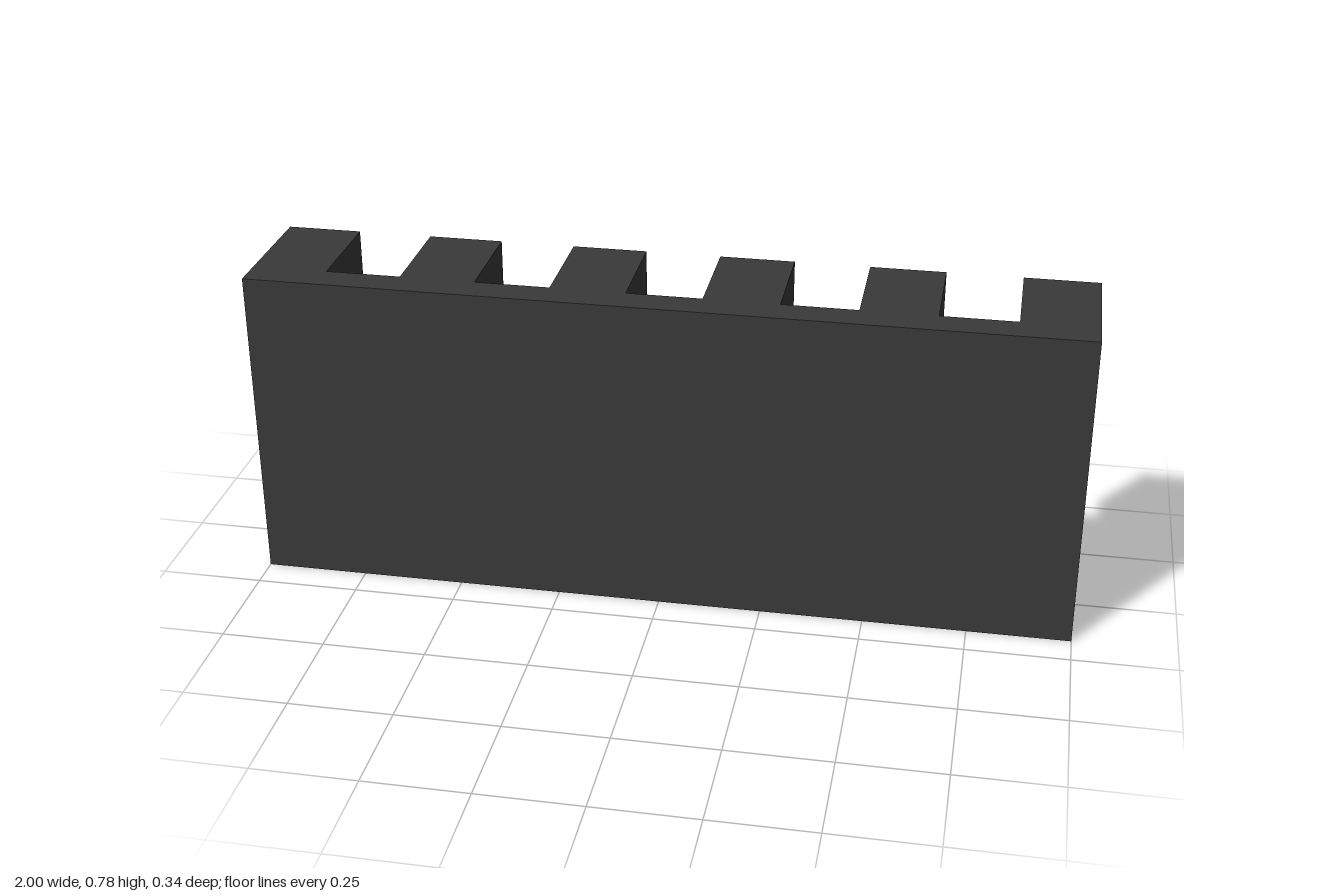
import * as THREE from 'three';

const LENGTH = 2, HEIGHT = 0.784;
const FRONT = 0.169, PLATE_BACK = 0.09, LEDGE_BACK = -0.075, TOOTH_BACK = -0.169;
const LEDGE_TOP = 0.069, TOOTH_BOTTOM = 0.524, TEETH = 6;

export function createModel() {
  const group = new THREE.Group();
  const charcoal = new THREE.MeshStandardMaterial({ color: 0x3a3a3a });
  charcoal.name = 'charcoal';

  // Front plate with its bottom ledge: an L profile (-z, y) swept along x
  const profile = new THREE.Shape([
    [-FRONT, 0], [-LEDGE_BACK, 0], [-LEDGE_BACK, LEDGE_TOP],
    [-PLATE_BACK, LEDGE_TOP], [-PLATE_BACK, HEIGHT], [-FRONT, HEIGHT],
  ].map(([x, y]) => new THREE.Vector2(x, y)));
  const plateGeometry = new THREE.ExtrudeGeometry(profile, { depth: LENGTH, bevelEnabled: false });
  plateGeometry.translate(0, 0, -LENGTH / 2).rotateY(Math.PI / 2);
  const plate = new THREE.Mesh(plateGeometry, charcoal);
  plate.name = 'plateWithLedge';
  group.add(plate);

  // Row of block teeth along the top, with gaps as wide as the teeth
  const width = LENGTH / (2 * TEETH - 1);
  const toothGeometry = new THREE.BoxGeometry(width, HEIGHT - TOOTH_BOTTOM, PLATE_BACK - TOOTH_BACK);
  for (let i = 0; i < TEETH; i++) {
    const tooth = new THREE.Mesh(toothGeometry, charcoal);
    tooth.name = `tooth${i + 1}`;
    tooth.position.set(
      -LENGTH / 2 + width * (2 * i + 0.5),
      (HEIGHT + TOOTH_BOTTOM) / 2,
      (PLATE_BACK + TOOTH_BACK) / 2,
    );
    group.add(tooth);
  }
  return group;
}
